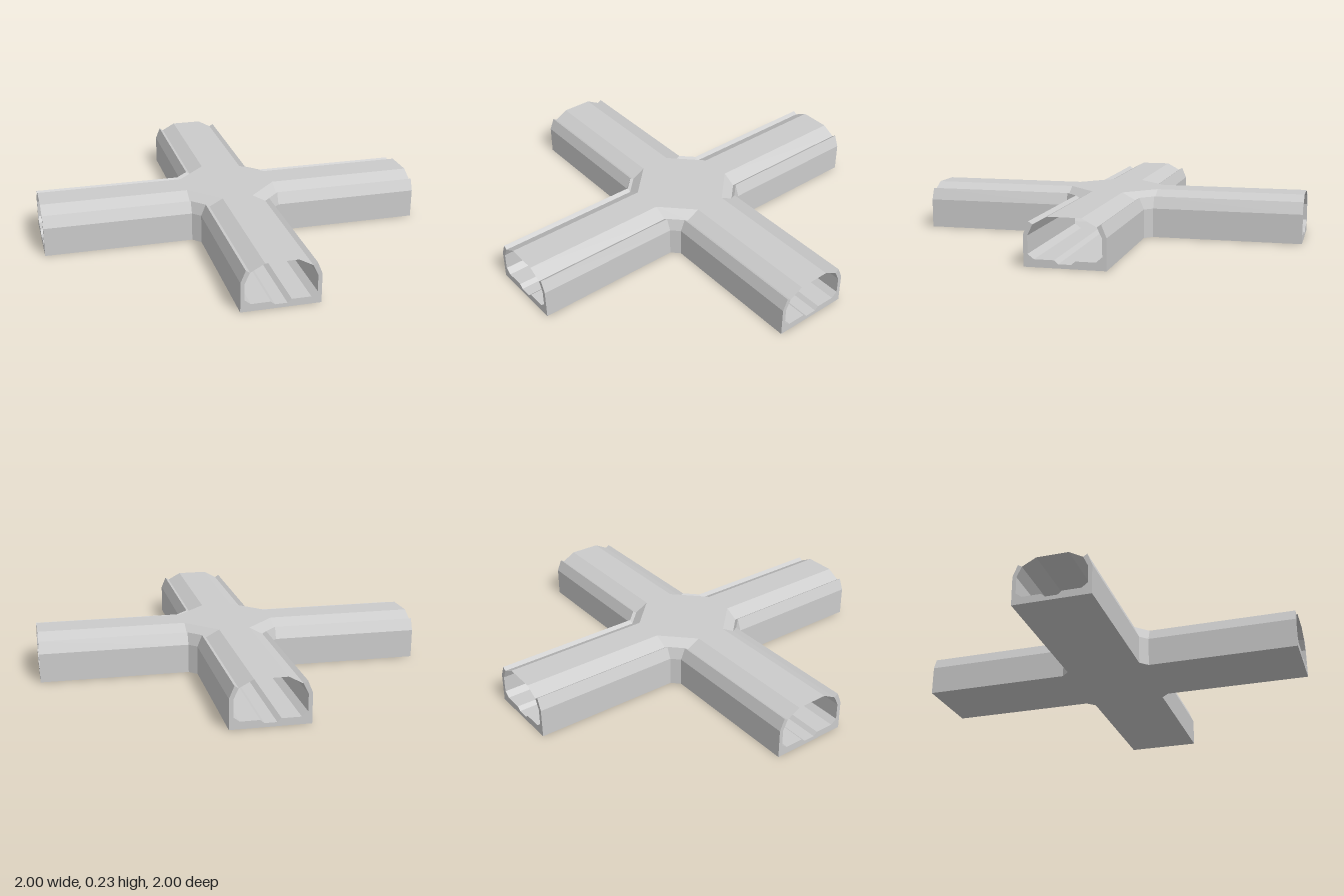
import * as THREE from 'three';

const END = 1, BEND = 0.235;

// Half cross-sections of a corridor: [distance from its centre line, height]
const base = [[0, 0], [0.195, 0]];
const wall = [[0.195, 0], [0.195, 0.15], [0.17, 0.21], [0.15, 0.197]];
const roof = [[0.15, 0.197], [0.08, 0.235], [0, 0.235]];
const inside = [[0.15, 0.197], [0.175, 0.145], [0.175, 0.06], [0.145, 0.037],
  [0.05, 0.037], [0.03, 0.02], [0, 0.02]];

// Sweep a section in along one arm, across the cut corner and out along the next
function cornerSweep(section, sharpBelow) {
  const rails = section.map(([d, y]) => {
    const b = d <= sharpBelow ? d : BEND;
    return [[END, y, d], [b, y, d], [d, y, b], [d, y, END]];
  });
  const pos = [];
  for (let i = 0; i < rails.length - 1; i++) {
    for (let j = 0; j < 3; j++) {
      const a = rails[i][j], b = rails[i + 1][j], c = rails[i + 1][j + 1], d = rails[i][j + 1];
      for (const t of [[a, b, c], [a, c, d]]) {
        const [u, v, w] = t.map((p) => new THREE.Vector3(...p));
        if (v.sub(u).cross(w.sub(u)).length() > 1e-8) pos.push(...t.flat());
      }
    }
  }
  const g = new THREE.BufferGeometry();
  g.setAttribute('position', new THREE.Float32BufferAttribute(pos, 3));
  g.computeVertexNormals();
  return g;
}

// Cut face of the shell at the mouth of an arm
function mouthGeometry() {
  const half = [base[0], ...wall, ...inside.slice(1)];
  const right = half.slice(1, -1);
  const left = right.map(([x, y]) => [-x, y]).reverse();
  const pts = [...right, ...left].map(([x, y]) => new THREE.Vector2(x, y));
  return new THREE.ShapeGeometry(new THREE.Shape(pts)).translate(0, 0, END);
}

export function createModel() {
  const model = new THREE.Group();
  model.name = 'corridorCrossing';
  const mat = new THREE.MeshStandardMaterial({
    color: 0xcccccc, flatShading: true, side: THREE.DoubleSide,
  });
  const parts = {
    base: cornerSweep(base, 0),
    outerWall: cornerSweep(wall, 0),
    roof: cornerSweep(roof, 0),
    // the floor channels cross at right angles
    interior: cornerSweep(inside, 0.05),
    mouth: mouthGeometry(),
  };
  // four identical quarters around the centre
  for (let q = 0; q < 4; q++) {
    const quarter = new THREE.Group();
    quarter.name = 'quarter' + (q + 1);
    quarter.rotation.y = q * Math.PI / 2;
    for (const [name, geo] of Object.entries(parts)) {
      const mesh = new THREE.Mesh(geo, mat);
      mesh.name = name;
      quarter.add(mesh);
    }
    model.add(quarter);
  }
  return model;
}
